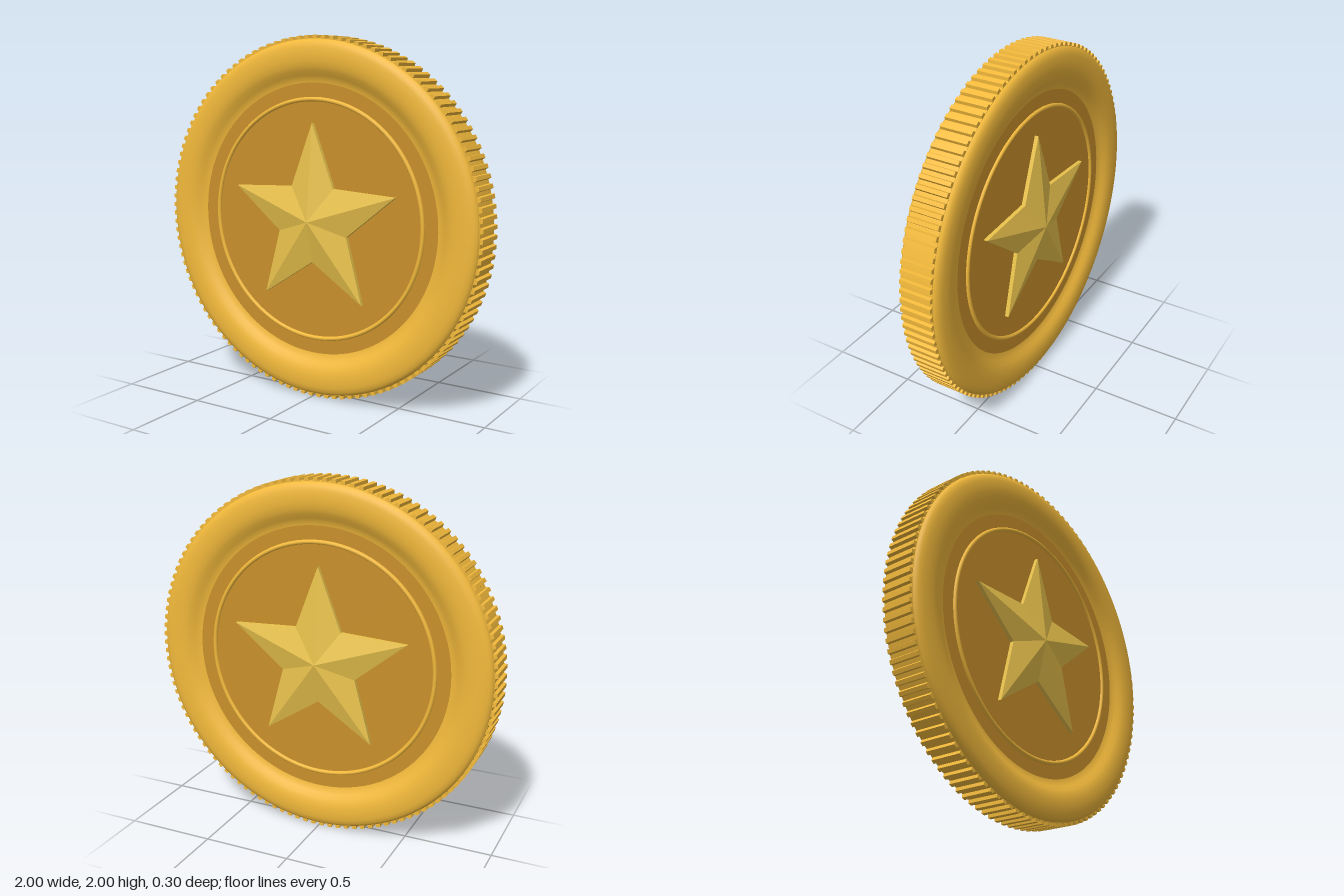
import * as THREE from 'three';

const paint = (color, extra = {}) => new THREE.MeshStandardMaterial({ color, ...extra });

function addMesh(parent, name, geometry, material) {
  const mesh = new THREE.Mesh(geometry, material);
  mesh.name = name;
  parent.add(mesh);
  return mesh;
}

// Faceted five-pointed star: a low pyramid roof over a short vertical wall
function starGeometry(outer, inner, base, edge, apex) {
  const corner = (i, z) => {
    const a = Math.PI / 2 + (i * Math.PI) / 5;
    const r = i % 2 ? inner : outer;
    return [r * Math.cos(a), r * Math.sin(a), z];
  };
  const pos = [];
  for (let i = 0; i < 10; i++) {
    const a = corner(i, edge), b = corner(i + 1, edge);
    const c = corner(i, base), d = corner(i + 1, base);
    pos.push(...a, ...b, 0, 0, apex);
    pos.push(...c, ...d, ...b, ...c, ...b, ...a);
  }
  const g = new THREE.BufferGeometry();
  g.setAttribute('position', new THREE.Float32BufferAttribute(pos, 3));
  g.computeVertexNormals();
  return g;
}

// Toothed outline of the reeded edge
function reedingShape(count, root, tip) {
  const shape = new THREE.Shape();
  const steps = [[0, root], [0.4, root], [0.5, tip], [0.9, tip]];
  for (let i = 0; i < count; i++) {
    for (const [t, r] of steps) {
      const a = ((i + t) / count) * Math.PI * 2;
      const x = r * Math.cos(a), y = r * Math.sin(a);
      if (i === 0 && t === 0) shape.moveTo(x, y);
      else shape.lineTo(x, y);
    }
  }
  shape.closePath();
  const hole = new THREE.Path();
  hole.absarc(0, 0, 0.93, 0, Math.PI * 2, true);
  shape.holes.push(hole);
  return shape;
}

export function createModel() {
  const gold = paint(0xf2b93b);
  const darkGold = paint(0xc98f2b);
  const starGold = paint(0xe9c24c, { flatShading: true });

  const group = new THREE.Group();
  const coin = new THREE.Group();
  coin.name = 'coin';
  coin.position.y = 1;
  group.add(coin);

  // Rounded raised rim, one half profile mirrored front to back
  const half = [
    [0.983, 0.085], [0.975, 0.1], [0.96, 0.111], [0.935, 0.118], [0.9, 0.12], [0.87, 0.119],
    [0.84, 0.114], [0.815, 0.104], [0.79, 0.089], [0.77, 0.078], [0.75, 0.074],
  ];
  const profile = [
    ...half.slice().reverse().map(([r, z]) => new THREE.Vector2(r, -z)),
    ...half.map(([r, z]) => new THREE.Vector2(r, z)),
  ];
  addMesh(coin, 'rim', new THREE.LatheGeometry(profile, 120).rotateX(Math.PI / 2), gold);

  // Reeded edge
  const reeding = new THREE.ExtrudeGeometry(reedingShape(120, 0.982, 1), {
    depth: 0.18, bevelEnabled: false, curveSegments: 60,
  }).translate(0, 0, -0.09);
  addMesh(coin, 'reededEdge', reeding, gold);

  // Recessed centre disc
  addMesh(coin, 'field',
    new THREE.CylinderGeometry(0.755, 0.755, 0.146, 96).rotateX(Math.PI / 2), darkGold);

  // Both faces carry the same thin ring and star
  for (const side of ['front', 'back']) {
    const face = new THREE.Group();
    face.name = side + 'Face';
    face.rotation.y = side === 'front' ? 0 : Math.PI;
    coin.add(face);
    addMesh(face, side + 'Ring', new THREE.TorusGeometry(0.662, 0.012, 10, 96), gold)
      .position.z = 0.073;
    addMesh(face, side + 'Star', starGeometry(0.535, 0.228, 0.07, 0.095, 0.15), starGold);
  }
  return group;
}
